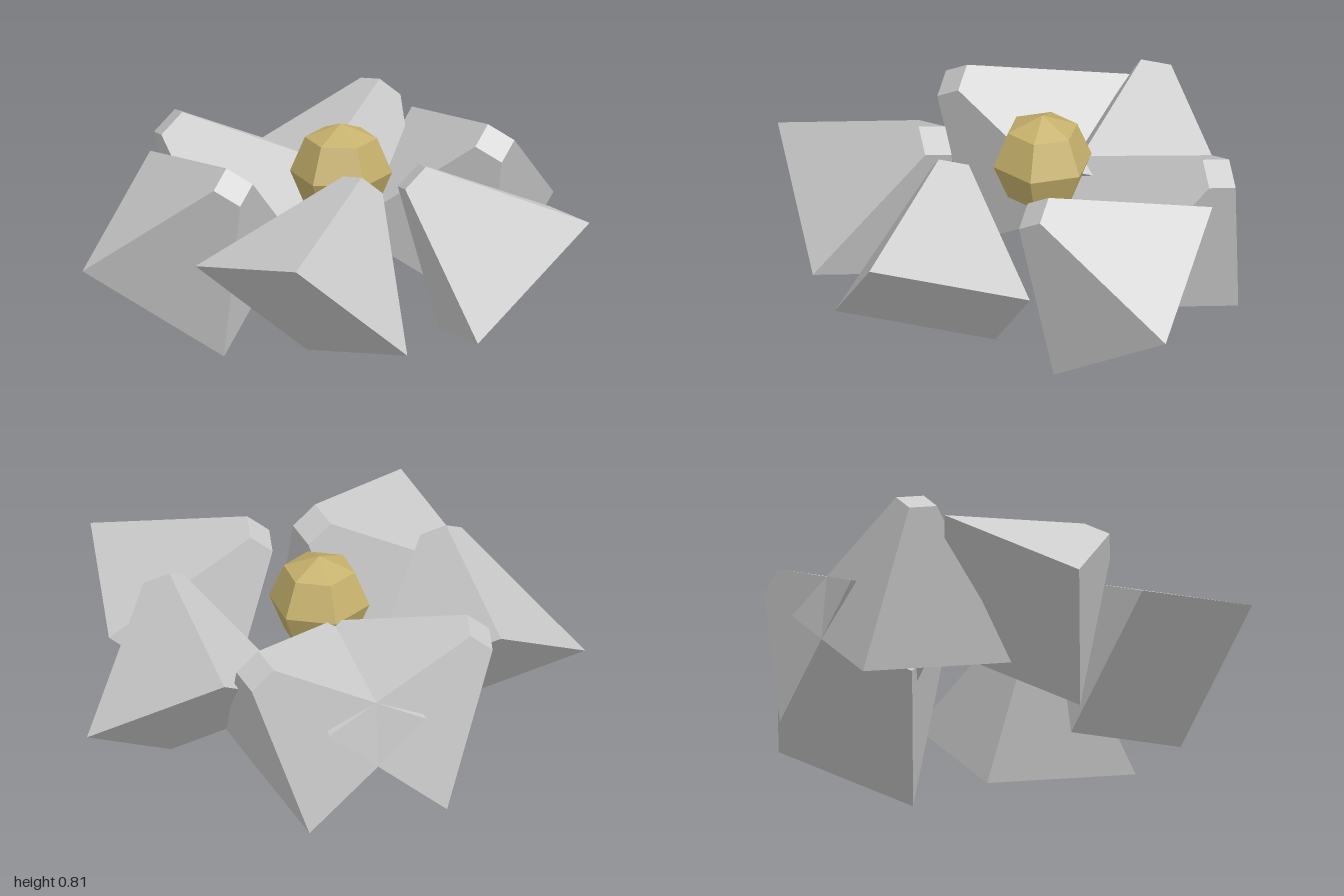
import * as THREE from 'three';

export function createModel() {
  const group = new THREE.Group();
  const grey = new THREE.MeshStandardMaterial({ color: 0xcccccc, flatShading: true });
  const gold = new THREE.MeshStandardMaterial({ color: 0xc6b16c, flatShading: true });
  const centreZ = -0.0865;
  const ringRadius = 0.555;

  // Faceted core, hexagonal from above
  const core = new THREE.Mesh(new THREE.SphereGeometry(0.194, 6, 4), gold);
  core.name = 'core';
  core.rotation.y = Math.PI / 2;
  core.position.set(0, 0.622, centreZ);
  group.add(core);

  // Four-sided truncated pyramid, placed by its axis and one corner direction
  const shardGeometry = new THREE.CylinderGeometry(0.083, 0.444, 0.555, 4);
  function addShard(name, degrees, axis, corner, flip) {
    const y = new THREE.Vector3(axis[0] * flip, axis[1], axis[2]).normalize();
    const z = new THREE.Vector3(corner[0] * flip, corner[1], corner[2]);
    const x = new THREE.Vector3().crossVectors(y, z).normalize();
    z.crossVectors(x, y);
    const shard = new THREE.Mesh(shardGeometry, grey);
    shard.name = name;
    shard.quaternion.setFromRotationMatrix(new THREE.Matrix4().makeBasis(x, y, z));
    const a = THREE.MathUtils.degToRad(degrees);
    shard.position.set(Math.cos(a) * ringRadius, 0.513, centreZ + Math.sin(a) * ringRadius);
    group.add(shard);
  }

  // Ring of six shards; opposite shards share the same tilt
  const sideAxis = [0, 1, 1], sideCorner = [0, -1, 1];
  const slantAxis = [-0.624, 0.716, -0.311], slantCorner = [0.384, 0.627, 0.669];
  addShard('leftShard', 0, sideAxis, sideCorner, 1);
  addShard('rightShard', 180, sideAxis, sideCorner, 1);
  addShard('frontLeftShard', 60, slantAxis, slantCorner, 1);
  addShard('backRightShard', 240, slantAxis, slantCorner, 1);
  addShard('frontRightShard', 120, slantAxis, slantCorner, -1);
  addShard('backLeftShard', 300, slantAxis, slantCorner, -1);

  return group;
}
